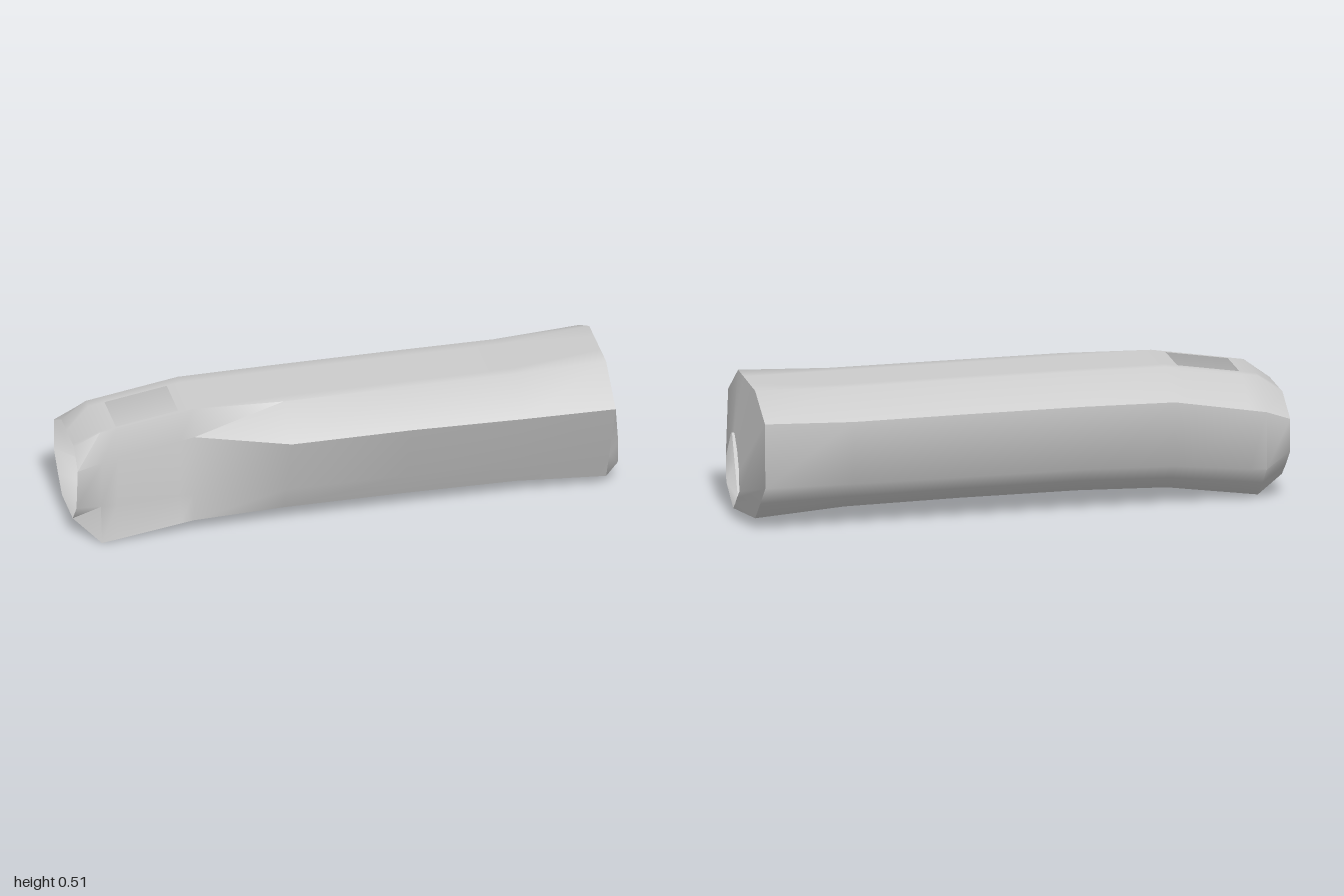
import * as THREE from 'three';
import { toCreasedNormals } from 'three/addons/utils/BufferGeometryUtils.js';

const material = new THREE.MeshStandardMaterial({ color: 0xcccccc, side: THREE.DoubleSide });

// Each ring is a list of [x, y, z] corners: top, back, underside, front.
function skin(rings, name, skip = () => false) {
  const pos = [];
  for (let i = 0; i < rings.length - 1; i++) {
    const n = rings[i].length;
    for (let j = 0; j < n; j++) {
      if (skip(i, j)) continue;
      const k = (j + 1) % n;
      const a = rings[i][j], b = rings[i][k], c = rings[i + 1][k], d = rings[i + 1][j];
      pos.push(...a, ...d, ...c, ...a, ...c, ...b);
    }
  }
  const geo = new THREE.BufferGeometry();
  geo.setAttribute('position', new THREE.Float32BufferAttribute(pos, 3));
  const mesh = new THREE.Mesh(toCreasedNormals(geo, THREE.MathUtils.degToRad(50)), material);
  mesh.name = name;
  return mesh;
}

// One cross-section from its [z, y] key corners; the top edge also carries
// two extra points at z = +-slot, which bound the window.
function section(x, slot, [t1, t2, b1, b2, b3, u1, u2, f1, f2]) {
  const onTop = (z) => [z, THREE.MathUtils.mapLinear(z, t1[0], t2[0], t1[1], t2[1])];
  return [t1, onTop(slot), onTop(-slot), t2, b1, b2, b3, u1, u2, f1, f2].map(([z, y]) => [x, y, z]);
}

// Halfway cross-section at x, used for the window ends
function between(x, s0, s1) {
  const t = (x - s0[0][0]) / (s1[0][0] - s0[0][0]);
  return s0.map((p, i) => p.map((v, k) => v + (s1[i][k] - v) * t));
}

export function createModel() {
  const group = new THREE.Group();
  group.name = 'hollowGrip';

  // Narrow open end, flared underside, then the full-width body
  const mouth = section(-1, 0.05, [[0.07, 0.38], [-0.13, 0.38], [-0.25, 0.31], [-0.25, 0.19],
    [-0.185, 0.125], [-0.12, 0.07], [0.05, 0.07], [0.11, 0.145], [0.13, 0.31]]);
  const flare = section(-0.91, 0.09, [[0.1, 0.445], [-0.13, 0.445], [-0.265, 0.345], [-0.265, 0.13],
    [-0.2, 0.065], [-0.125, 0], [0.13, 0], [0.11, 0.14], [0.13, 0.335]]);
  const neck = section(-0.57, 0.09, [[0.105, 0.5], [-0.13, 0.5], [-0.27, 0.405], [-0.265, 0.165],
    [-0.2, 0.105], [-0.13, 0.05], [0.13, 0.05], [0.115, 0.15], [0.135, 0.4]]);
  const body = (x) => section(x, 0.09, [[0.13, 0.502], [-0.13, 0.502], [-0.27, 0.41], [-0.268, 0.175],
    [-0.2, 0.115], [-0.13, 0.06], [0.13, 0.06], [0.175, 0.16], [0.265, 0.4]]);
  const shoulder = section(0.62, 0.09, [[0.13, 0.502], [-0.13, 0.5], [-0.277, 0.41], [-0.275, 0.178],
    [-0.2, 0.112], [-0.13, 0.055], [0.13, 0.055], [0.178, 0.16], [0.267, 0.392]]);
  const rim = section(0.95, 0.05, [[0.135, 0.515], [-0.13, 0.508], [-0.284, 0.424], [-0.289, 0.185],
    [-0.21, 0.108], [-0.13, 0.032], [0.138, 0.036], [0.187, 0.15], [0.29, 0.402]]);

  const rings = [mouth, flare, between(-0.85, flare, neck), between(-0.62, flare, neck),
    neck, body(-0.24), body(0.2), shoulder, rim];
  // The middle strip of the top is left open to form the window
  group.add(skin(rings, 'tubeShell', (i, j) => i === 2 && j === 1));

  // Bulging end cap with an off-centre opening
  const opening = [[0.99, 0.3, 0.075], [0.99, 0.312, 0.03], [0.99, 0.31, 0.022], [0.993, 0.26, -0.032],
    [1, 0.2, -0.09], [1, 0.125, -0.095], [0.998, 0.09, -0.05], [0.996, 0.057, -0.012],
    [0.995, 0.032, 0.022], [0.99, 0.095, 0.15], [0.99, 0.185, 0.158]];
  group.add(skin([rim, opening], 'endCap'));
  return group;
}
